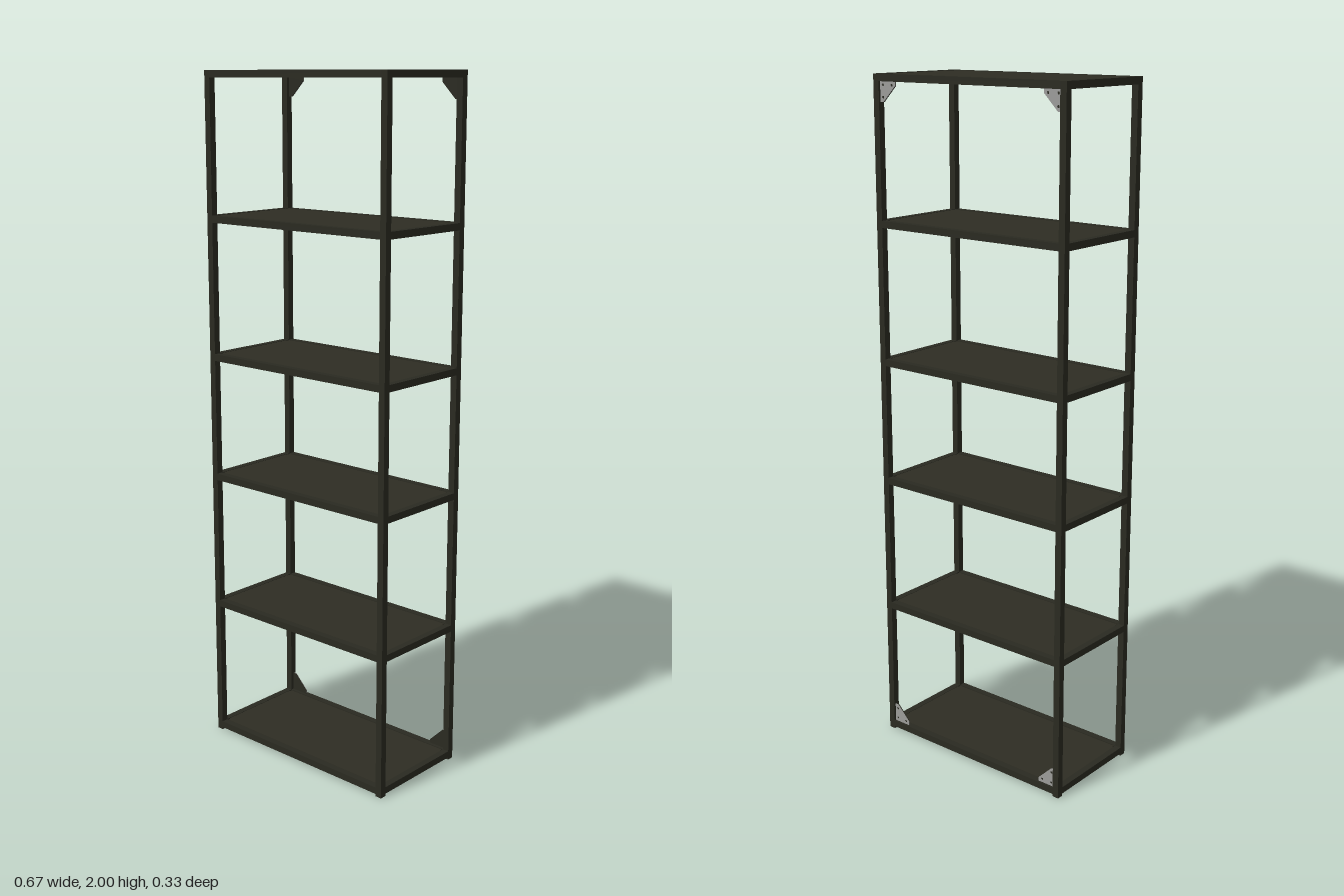
import * as THREE from 'three';

const W = 0.333, D = 0.166, T = 0.02;          // half width, half depth, tube size
const LEVELS = [0.017, 0.42, 0.822, 1.185, 1.587, 1.99];

const frameMat = new THREE.MeshStandardMaterial({ color: 0x2a2a21 });
frameMat.name = 'darkFrame';
const boardMat = new THREE.MeshStandardMaterial({ color: 0x2e2d23 });
boardMat.name = 'darkBoard';
const steelMat = new THREE.MeshStandardMaterial({ color: 0x9c9c9a });
steelMat.name = 'greySteel';

function box(parent, name, mat, size, pos) {
  const mesh = new THREE.Mesh(new THREE.BoxGeometry(...size), mat);
  mesh.name = name;
  mesh.position.set(...pos);
  parent.add(mesh);
}

// Extruded plate lying on the z = 0 plane
function plate(shape, depth, mat, name, z) {
  const geo = new THREE.ExtrudeGeometry(shape, { depth, bevelEnabled: false, curveSegments: 8 });
  const mesh = new THREE.Mesh(geo, mat);
  mesh.name = name;
  mesh.position.z = z;
  return mesh;
}

// Triangular corner plate with clipped tips; its corner sits at the origin
function gussetShape(holes) {
  const s = new THREE.Shape();
  s.moveTo(0, 0);
  s.lineTo(0.056, 0);
  s.lineTo(0.056, 0.011);
  s.lineTo(0.011, 0.056);
  s.lineTo(0, 0.056);
  s.closePath();
  if (holes) {
    for (const [x, y] of [[0.01, 0.01], [0.043, 0.01], [0.01, 0.043]]) {
      const h = new THREE.Path();
      h.absarc(x, y, 0.004, 0, Math.PI * 2, true);
      s.holes.push(h);
    }
  }
  return s;
}

function gusset(x, y, angle) {
  const g = new THREE.Group();
  g.name = 'cornerBracket';
  g.add(plate(gussetShape(false), 0.003, frameMat, 'bracketFront', 0));
  g.add(plate(gussetShape(true), 0.002, steelMat, 'bracketBack', -0.002));
  g.position.set(x, y, -D + 0.008);
  g.rotation.z = angle;
  return g;
}

// Shelf board outline with small notches at its corners
function boardShape() {
  const x = W - T, z = D - T - 0.0025, nx = 0.003, nz = 0.009;
  const s = new THREE.Shape();
  s.moveTo(-x + nx, -z);
  for (const [px, pz] of [
    [x - nx, -z], [x - nx, -z + nz], [x, -z + nz], [x, z - nz], [x - nx, z - nz], [x - nx, z],
    [-x + nx, z], [-x + nx, z - nz], [-x, z - nz], [-x, -z + nz], [-x + nx, -z + nz],
  ]) s.lineTo(px, pz);
  s.closePath();
  return s;
}

export function createModel() {
  const model = new THREE.Group();
  model.name = 'shelvingRack';

  // Corner posts
  for (const sx of [-1, 1]) for (const sz of [-1, 1])
    box(model, 'post', frameMat, [T, 2, T], [sx * (W - T / 2), 1, sz * (D - T / 2)]);

  // Shelves: four rails around an inset board
  for (const y of LEVELS) {
    const shelf = new THREE.Group();
    shelf.name = 'shelf';
    shelf.position.y = y;
    for (const s of [-1, 1]) {
      box(shelf, 'longRail', frameMat, [2 * (W - T), T, T], [0, 0, s * (D - T / 2)]);
      box(shelf, 'shortRail', frameMat, [T, T, 2 * (D - T)], [s * (W - T / 2), 0, 0]);
    }
    const board = plate(boardShape(), 0.012, boardMat, 'board', 0);
    board.rotation.x = -Math.PI / 2;
    board.position.y = -0.003;
    shelf.add(board);
    model.add(shelf);
  }

  // Corner brackets at the back, top and bottom
  const x = W - T, low = LEVELS[0] + T / 2, high = LEVELS[5] - T / 2;
  model.add(gusset(-x, low, 0));
  model.add(gusset(x, low, Math.PI / 2));
  model.add(gusset(x, high, Math.PI));
  model.add(gusset(-x, high, -Math.PI / 2));
  return model;
}
